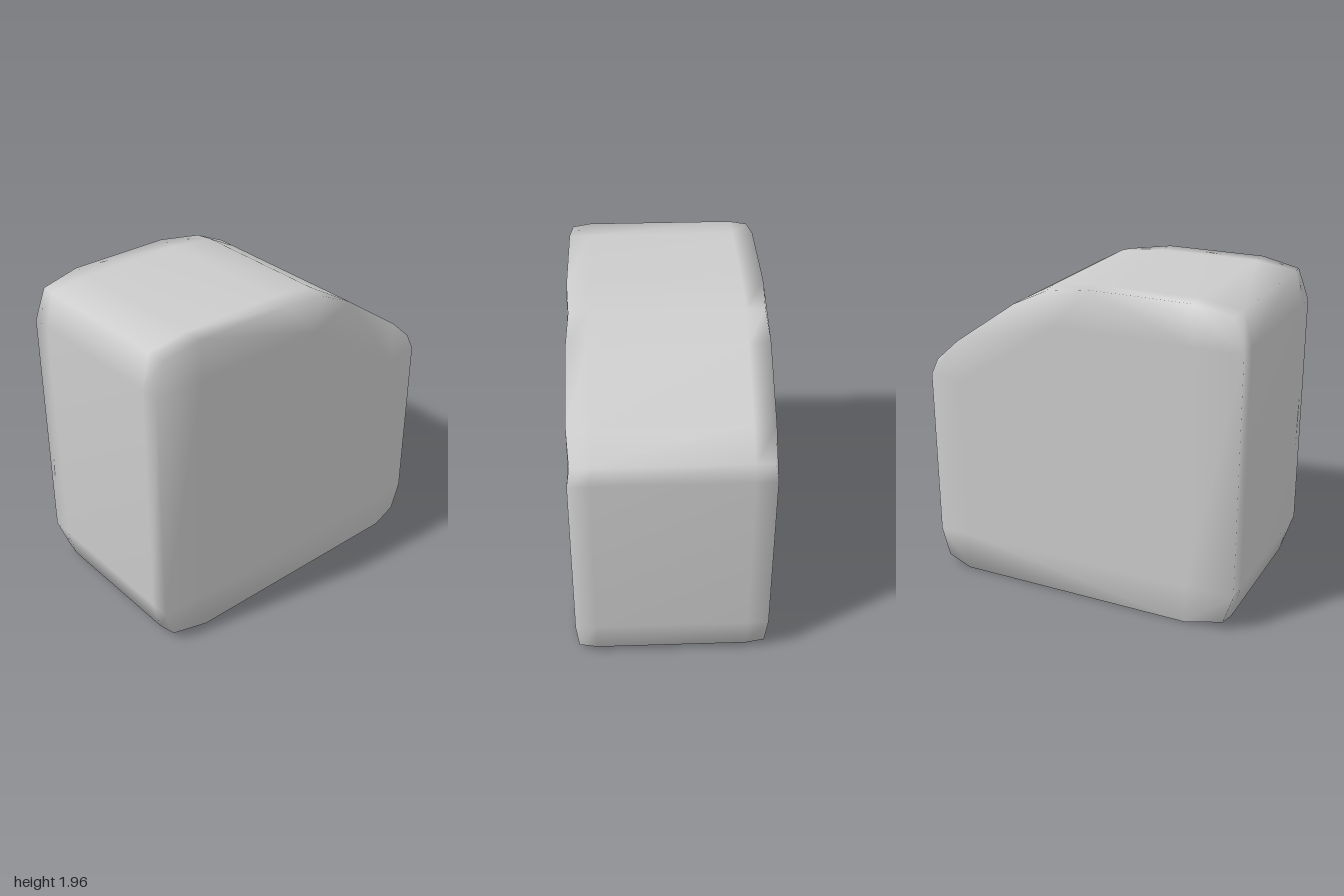
import * as THREE from 'three';

const HALF = 0.575; // half depth
const RIM = 0.45;   // depth where the soft edge band starts

// Five corners, counter-clockwise: the points before, at and after the corner, then the inset face point
const corners = [
  { rim: [[-1, 0.24], [-0.95, 0.04], [-0.7, 0]], inset: [-0.7, 0.24] },
  { rim: [[0.8, 0], [0.97, 0.04], [1, 0.24]], inset: [0.8, 0.24] },
  { rim: [[1, 1.3], [0.97, 1.405], [0.8, 1.54]], inset: [0.8, 1.28] },
  { rim: [[0.4, 1.82], [0.2, 1.93], [-0.08, 1.96]], inset: [0.13, 1.72] },
  { rim: [[-0.7, 1.96], [-0.95, 1.925], [-1, 1.72]], inset: [-0.7, 1.72] },
];

function bodyGeometry() {
  const pos = [], index = [];
  const quad = (a, b, c, d) => index.push(a, b, c, a, c, d);

  // Four outline rings from front to back; corner points of the end rings are drawn in slightly
  const rings = [HALF, RIM, -RIM, -HALF].map((z) => {
    const start = pos.length / 3;
    const end = Math.abs(z) === HALF;
    for (const { rim, inset } of corners) {
      rim.forEach(([x, y], i) => {
        const pull = end && i === 1;
        const k = pull ? 0.06 : 0;
        pos.push(x + (inset[0] - x) * k, y + (inset[1] - y) * k, pull ? z - Math.sign(z) * 0.015 : z);
      });
    }
    return start;
  });

  // Side walls
  const n = corners.length * 3;
  for (let r = 0; r < 3; r++) {
    for (let i = 0; i < n; i++) {
      const j = (i + 1) % n;
      quad(rings[r] + i, rings[r + 1] + i, rings[r + 1] + j, rings[r] + j);
    }
  }

  // Front and back faces: corner patches, edge bands and a flat centre
  for (const [ring, z] of [[rings[0], HALF], [rings[3], -HALF]]) {
    const inner = pos.length / 3;
    for (const { inset } of corners) pos.push(inset[0], inset[1], z);
    const face = (a, b, c, d) => (z > 0 ? quad(a, b, c, d) : quad(d, c, b, a));
    const m = corners.length;
    for (let i = 0; i < m; i++) {
      const j = (i + 1) % m, a = ring + i * 3;
      face(inner + i, a, a + 1, a + 2);
      face(inner + i, a + 2, ring + j * 3, inner + j);
    }
    for (let i = 1; i < m - 1; i++) {
      if (z > 0) index.push(inner, inner + i, inner + i + 1);
      else index.push(inner, inner + i + 1, inner + i);
    }
  }

  const g = new THREE.BufferGeometry();
  g.setAttribute('position', new THREE.Float32BufferAttribute(pos, 3));
  g.setIndex(index);
  g.computeVertexNormals();
  return g;
}

export function createModel() {
  const group = new THREE.Group();
  group.name = 'slopedBlock';
  const body = new THREE.Mesh(bodyGeometry(), new THREE.MeshStandardMaterial({ color: 0xcccccc }));
  body.name = 'body';
  group.add(body);
  return group;
}
